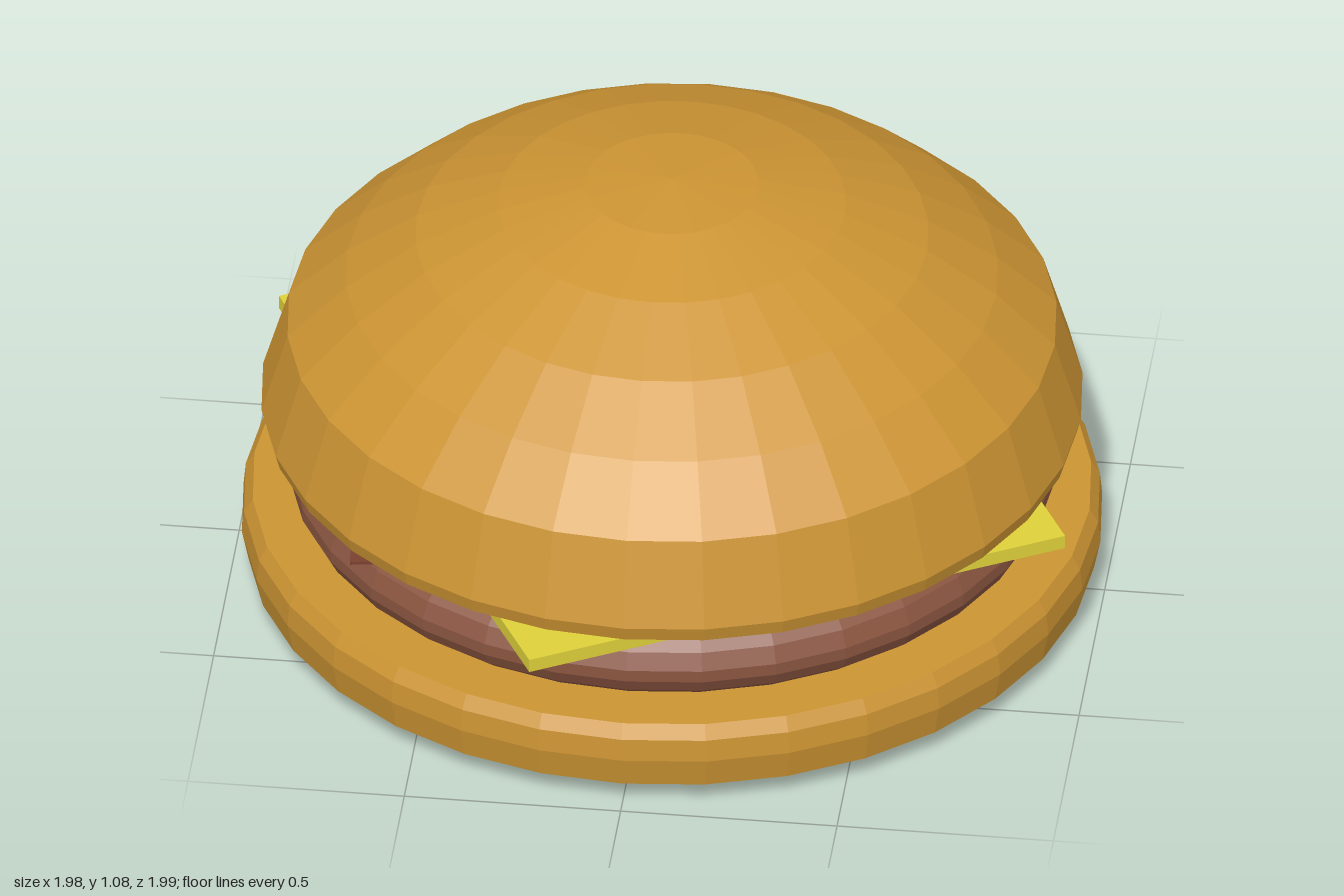
import * as THREE from 'three';

const SIDES = 32;

function mat(color, side = THREE.FrontSide) {
  return new THREE.MeshStandardMaterial({ color, flatShading: true, side });
}

// Closed round part from [radius, height] pairs, listed bottom to top
function turned(name, profile, material) {
  const points = profile.map(([r, y]) => new THREE.Vector2(r, y));
  const mesh = new THREE.Mesh(new THREE.LatheGeometry(points, SIDES), material);
  mesh.name = name;
  return mesh;
}

// Thin strip along x with a gentle wave
function wavyStrip(name, length, width, material) {
  const geo = new THREE.BoxGeometry(length, 0.008, width, 28, 1, 2);
  const p = geo.attributes.position;
  for (let i = 0; i < p.count; i++) {
    p.setY(i, p.getY(i) + 0.008 * Math.sin(p.getX(i) * 11));
  }
  const mesh = new THREE.Mesh(geo, material);
  mesh.name = name;
  return mesh;
}

export function createModel() {
  const group = new THREE.Group();
  group.name = 'burger';
  const bun = mat(0xcc9433);
  const meat = mat(0x8a5540);
  const cheeseMat = mat(0xddd03a);
  const baconMat = mat(0x7a4030);

  // Bottom bun with a slightly bulging underside
  group.add(turned('bottomBun', [
    [0, 0.005], [0.2, 0.008], [0.4, 0.014], [0.6, 0.026], [0.8, 0.043],
    [0.975, 0.065], [0.99, 0.14], [0.985, 0.195], [0.965, 0.228], [0, 0.228],
  ], bun));

  // Patty with a rounded rim
  group.add(turned('patty', [
    [0, 0.222], [0.83, 0.222], [0.862, 0.25], [0.88, 0.285],
    [0.88, 0.315], [0.862, 0.355], [0.83, 0.385], [0, 0.385],
  ], meat));

  // Cheese slice, turned so its corners poke out
  const cheese = new THREE.Mesh(new THREE.BoxGeometry(1.55, 0.034, 1.324), cheeseMat);
  cheese.name = 'cheese';
  cheese.position.y = 0.394;
  cheese.rotation.y = -1.073;
  group.add(cheese);

  // Wavy strips on top of the cheese
  for (const side of [-1, 1]) {
    const strip = wavyStrip('baconStrip', 1.36, 0.34, baconMat);
    strip.position.set(0, 0.424, side * 0.45);
    strip.rotation.y = 0.08;
    group.add(strip);
  }

  // Domed top bun
  group.add(turned('topBun', [
    [0, 0.435], [0.91, 0.435], [0.935, 0.443], [0.945, 0.48], [0.885, 0.685],
    [0.75, 0.815], [0.59, 0.927], [0.4, 1.014], [0.2, 1.066], [0, 1.08],
  ], bun));

  return group;
}
